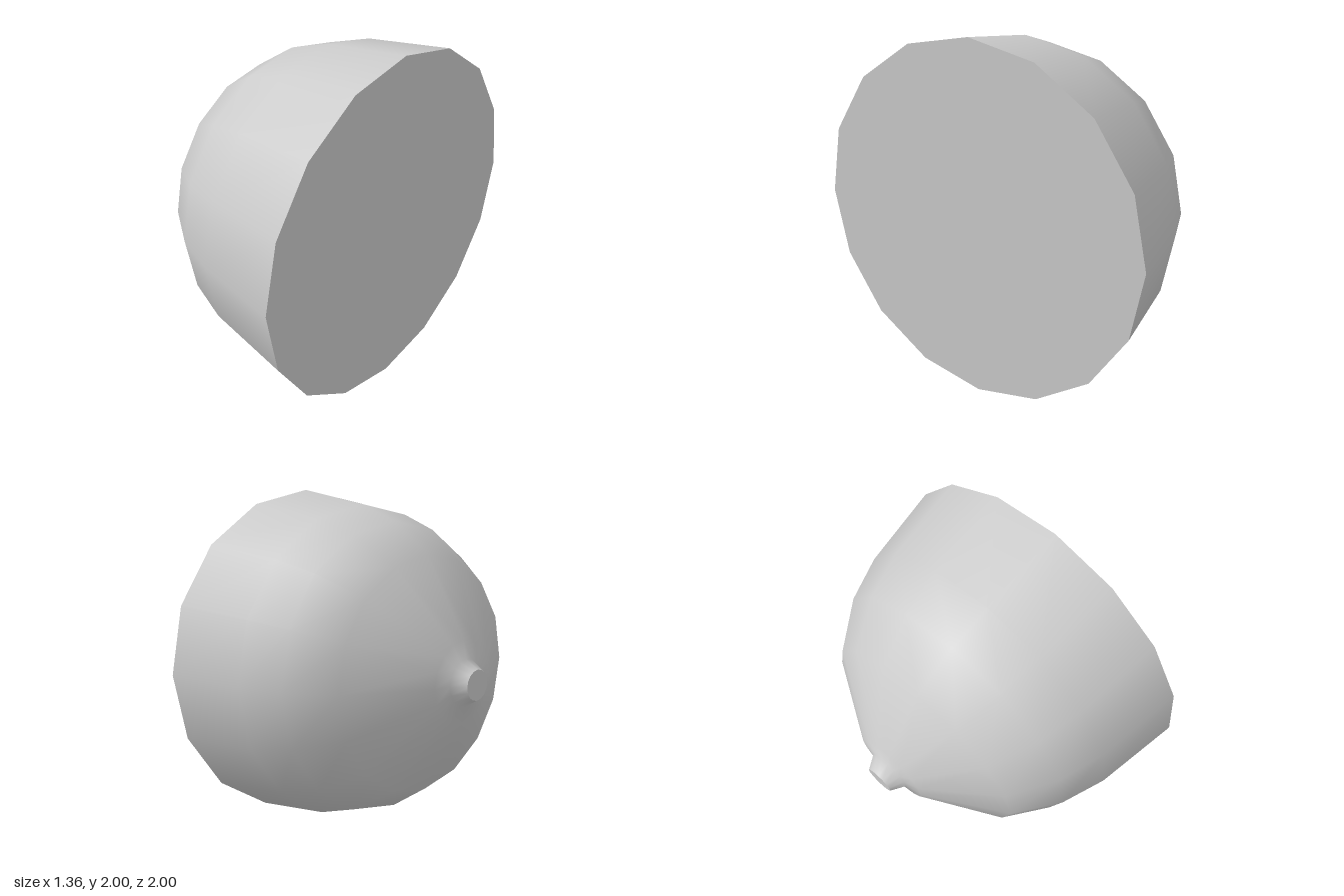
import * as THREE from 'three';

const SIDES = 16;

export function createModel() {
  const group = new THREE.Group();
  group.name = 'nosedDome';
  const material = new THREE.MeshStandardMaterial({ color: 0xcccccc });

  const add = (name, geometry, x) => {
    const mesh = new THREE.Mesh(geometry, material);
    mesh.name = name;
    mesh.position.set(x, 1, 0);
    group.add(mesh);
  };

  // Smooth shell from the small nozzle out to the wide rim: [radius, x]
  const profile = [
    [0.085, -0.68], [0.13, -0.6], [0.23, -0.58], [0.67, -0.32],
    [0.84, -0.07], [0.925, 0.18], [1, 0.68],
  ].map(([r, x]) => new THREE.Vector2(r, x));
  add('domeShell', new THREE.LatheGeometry(profile, SIDES).rotateZ(-Math.PI / 2), 0);

  // Flat discs closing both ends
  add('baseDisc', new THREE.CircleGeometry(1, SIDES).rotateY(Math.PI / 2), 0.68);
  add('nozzleTip', new THREE.CircleGeometry(0.085, SIDES).rotateY(-Math.PI / 2), -0.68);

  return group;
}
